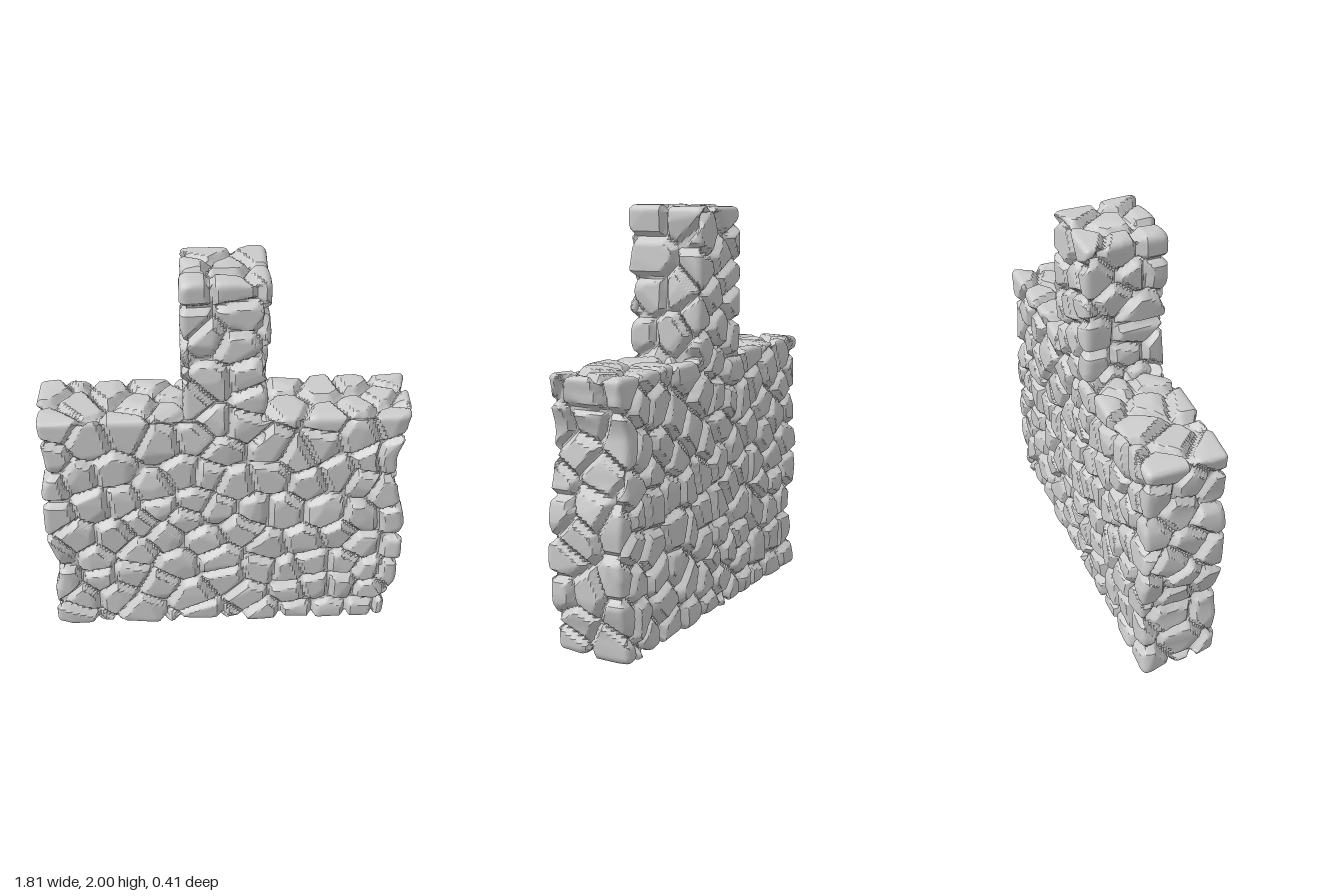
import * as THREE from 'three';
import { mergeVertices, toCreasedNormals } from 'three/addons/utils/BufferGeometryUtils.js';

// Small seeded random number generator
let seed = 7;
function rand() {
  seed = (seed * 1664525 + 1013904223) % 4294967296;
  return seed / 4294967296;
}
const spread = (a) => (rand() * 2 - 1) * a;

// The two stone blocks: x, y, z limits
const wallBox = new THREE.Box3(new THREE.Vector3(-0.905, 0, -0.205), new THREE.Vector3(0.905, 1.295, 0.205));
const towerBox = new THREE.Box3(new THREE.Vector3(-0.205, 1.12, -0.205), new THREE.Vector3(0.205, 2.004, 0.205));

// Scatter stone centres over the faces of a block, keeping them apart
function scatterStones(stones, box, hidden, tries) {
  const size = box.getSize(new THREE.Vector3());
  const areas = [size.y * size.z, size.x * size.z, size.x * size.y];
  const total = areas[0] + areas[1] + areas[2];
  for (let t = 0; t < tries; t++) {
    const pick = rand() * total;
    const axis = pick < areas[0] ? 0 : pick < areas[0] + areas[1] ? 1 : 2;
    const p = new THREE.Vector3(rand(), rand(), rand());
    p.setComponent(axis, rand() < 0.5 ? 0 : 1);
    p.multiply(size).add(box.min);
    if (hidden.containsPoint(p)) continue;
    // pull centres in from the edges so that edge stones wrap the corner
    p.clamp(box.min.clone().addScalar(0.045), box.max.clone().subScalar(0.045));
    const gap = 0.115 + 0.055 * rand();
    if (stones.some((s) => s.p.distanceTo(p) < gap)) continue;
    const chips = [0, 1].map(() => new THREE.Vector3(spread(1), spread(1), spread(1)).normalize());
    stones.push({
      p, chips,
      sink: rand() * 0.01,
      tilt: new THREE.Vector3(spread(0.1), spread(0.1), spread(0.1)),
    });
  }
}

// Depth of the surface below the block's face: joints, chamfers, tilted and chipped stones
const rel = new THREE.Vector3();
function carveDepth(p, stones) {
  let near = null, best = Infinity;
  for (const s of stones) {
    s.d = s.p.distanceToSquared(p);
    if (s.d < best) { best = s.d; near = s; }
  }
  let border = Infinity;
  for (const s of stones) {
    if (s === near || s.d > best + 0.06) continue;
    border = Math.min(border, (s.d - best) / (2 * s.p.distanceTo(near.p)));
  }
  const joint = 0.036 * (1 - THREE.MathUtils.clamp((border - 0.004) / 0.022, 0, 1));
  rel.subVectors(p, near.p);
  let face = near.sink + near.tilt.dot(rel);
  for (const c of near.chips) face = Math.max(face, near.sink + (c.dot(rel) - 0.05) * 0.35);
  return Math.min(0.048, Math.max(0, face) + joint);
}

// Uneven half-width of the wall ends, as [height, half-width]
const leftEnd = [[0, 0.845], [0.1, 0.85], [0.3, 0.895], [0.6, 0.905], [0.85, 0.86], [1.02, 0.84], [1.2, 0.89], [1.3, 0.905]];
const rightEnd = [[0, 0.905], [0.15, 0.89], [0.35, 0.855], [0.65, 0.905], [0.85, 0.895], [1.02, 0.87], [1.2, 0.895], [1.3, 0.905]];
function endWidth(table, y) {
  for (let i = 1; i < table.length; i++) {
    const [y0, w0] = table[i - 1], [y1, w1] = table[i];
    if (y <= y1) return THREE.MathUtils.lerp(w0, w1, THREE.MathUtils.smoothstep(y, y0, y1));
  }
  return table[table.length - 1][1];
}

// A rounded block whose vertices are carved into stones
function stoneBlock(box, stones, step, unevenEnds) {
  const size = box.getSize(new THREE.Vector3()), centre = box.getCenter(new THREE.Vector3());
  const n = size.toArray().map((v) => Math.round(v / step));
  let geo = new THREE.BoxGeometry(size.x, size.y, size.z, n[0], n[1], n[2]);
  geo.translate(centre.x, centre.y, centre.z);
  geo.deleteAttribute('uv');
  geo.deleteAttribute('normal');
  geo = mergeVertices(geo, 1e-4);

  const radius = 0.035;
  const lo = box.min.clone().addScalar(radius), hi = box.max.clone().subScalar(radius);
  const pos = geo.attributes.position;
  const p = new THREE.Vector3(), core = new THREE.Vector3(), dir = new THREE.Vector3();
  for (let i = 0; i < pos.count; i++) {
    p.fromBufferAttribute(pos, i);
    core.copy(p).clamp(lo, hi);
    dir.subVectors(p, core).normalize();
    p.copy(core).addScaledVector(dir, radius);
    p.addScaledVector(dir, -carveDepth(p, stones));
    if (unevenEnds) {
      const pull = 0.905 - endWidth(p.x > 0 ? leftEnd : rightEnd, p.y);
      p.x -= Math.sign(p.x) * pull * THREE.MathUtils.smoothstep(Math.abs(p.x), 0.6, 0.9);
    }
    pos.setXYZ(i, p.x, p.y, p.z);
  }
  return toCreasedNormals(geo, 0.6);
}

export function createModel() {
  seed = 7;
  const group = new THREE.Group();
  group.name = 'stoneWallWithTower';
  const material = new THREE.MeshStandardMaterial({ color: 0xcccccc });

  // One set of stones, so that the pattern runs on from wall to tower
  const stones = [];
  scatterStones(stones, wallBox, towerBox.clone().expandByScalar(-0.01), 7000);
  scatterStones(stones, towerBox, wallBox, 3000);

  const wall = new THREE.Mesh(stoneBlock(wallBox, stones, 0.0125, true), material);
  wall.name = 'wall';
  const tower = new THREE.Mesh(stoneBlock(towerBox, stones, 0.0125, false), material);
  tower.name = 'tower';
  group.add(wall, tower);
  return group;
}
